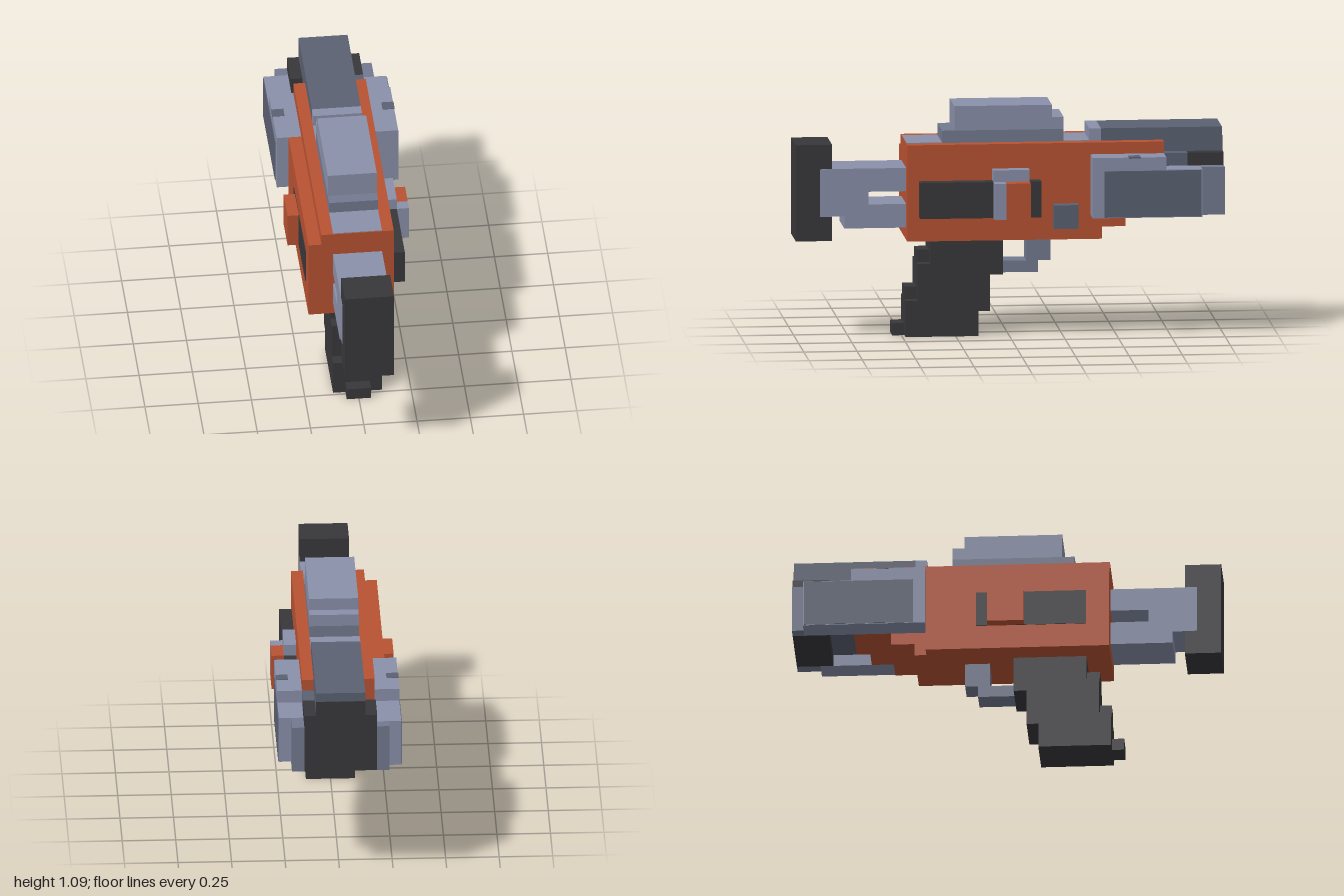
import * as THREE from 'three';

const material = (color) => new THREE.MeshStandardMaterial({ color, flatShading: true });

export function createModel() {
  const model = new THREE.Group();
  const orange = material(0xb85232), dark = material(0x38373b);
  const light = material(0x8a90aa), steel = material(0x5b6172), mid = material(0x737a90);

  // Each part is a group of boxes given as [x0, x1, y0, y1, z0, z1, material?]
  function part(name, base, boxes) {
    const group = new THREE.Group();
    group.name = name;
    for (const [x0, x1, y0, y1, z0, z1, mat = base] of boxes) {
      const mesh = new THREE.Mesh(new THREE.BoxGeometry(x1 - x0, y1 - y0, z1 - z0), mat);
      mesh.position.set((x0 + x1) / 2, (y0 + y1) / 2, (z0 + z1) / 2);
      mesh.name = name + 'Block';
      group.add(mesh);
    }
    model.add(group);
  }
  const W = 0.115, B = 0.17;

  // Body with a stepped underside and a thicker right flank
  part('body', orange, [
    [-B, B, 0.46, 0.518, -0.43, 0.483],
    [-B, B, 0.518, 0.575, -0.54, 0.483],
    [-B, B, 0.575, 0.63, -0.65, 0.483],
    [-B, B, 0.63, 0.915, -0.72, 0.483],
    [-0.23, -B, 0.46, 0.86, -0.375, 0.483],
  ]);
  part('topStrip', light, [
    [-W, W, 0.91, 0.918, 0.315, 0.48],
    [-W, W, 0.91, 0.918, -0.375, -0.255],
  ]);

  // Raised sight housing
  part('sight', light, [
    [-W, W, 0.915, 0.973, -0.255, 0.315, mid],
    [-W, W, 0.973, 1.03, -0.255, 0.257],
    [-W, W, 1.03, 1.088, -0.2, 0.257],
  ]);

  // Barrel and dark muzzle
  part('barrel', steel, [
    [-W, W, 0.915, 0.973, -0.72, -0.43],
    [-W, W, 0.86, 0.973, -0.997, -0.72],
    [-W, W, 0.915, 0.973, -0.43, -0.375, light],
    [-W, W, 0.63, 0.86, -0.83, -0.72],
    [W, B, 0.63, 0.86, -0.83, -0.72],
  ]);
  part('muzzle', dark, [
    [-B, B, 0.575, 0.86, -1, -0.83],
    [-W, W, 0.86, 0.93, -1, -0.997],
  ]);

  // Guard plates on both sides of the barrel
  for (const [s, end, name] of [[1, -0.89, 'leftGuard'], [-1, -0.945, 'rightGuard']]) {
    const side = (a, b, ...rest) => [Math.min(s * a, s * b), Math.max(s * a, s * b), ...rest];
    part(name, light, [
      side(B, 0.285, 0.575, 0.8, end, -0.375),
      side(B, 0.285, 0.8, 0.86, -0.72, -0.375),
      side(B, 0.228, 0.575, 0.8, -1, end, mid),
      side(0.28, 0.288, 0.578, 0.797, end + 0.005, -0.43, steel),
      side(0.23, 0.287, 0.855, 0.862, -0.6, -0.545, steel),
    ]);
  }

  // Shoulder stock: dark butt and forked arm
  part('stockButt', dark, [[-W, W, 0.46, 0.915, 0.83, 1]]);
  part('stockArm', light, [
    [-W, W, 0.69, 0.8, 0.483, 0.83],
    [-W, W, 0.63, 0.69, 0.66, 0.83],
    [-W, W, 0.575, 0.63, 0.483, 0.83],
    [-W, W, 0.518, 0.575, 0.483, 0.773],
    [-0.117, 0.117, 0.575, 0.8, 0.828, 0.887],
  ]);

  // Slanted grip in layers, with narrow ridges on its back
  part('grip', dark, [
    [-W, W, 0.345, 0.46, 0.03, 0.37],
    [-W, W, 0.29, 0.345, 0.03, 0.43],
    [-W, W, 0.17, 0.29, 0.09, 0.43],
    [-W, W, 0.118, 0.17, 0.09, 0.485],
    [-W, W, 0, 0.118, 0.145, 0.485],
    [-0.057, 0.057, 0.345, 0.403, 0.37, 0.43],
    [-0.057, 0.057, 0.17, 0.23, 0.43, 0.485],
    [-0.057, 0.057, 0, 0.057, 0.485, 0.543],
  ]);
  part('triggerGuard', mid, [
    [-0.057, 0.057, 0.29, 0.345, -0.14, 0.03],
    [-0.057, 0.057, 0.345, 0.403, -0.2, -0.085],
    [-0.057, 0.057, 0.403, 0.46, -0.2, -0.085],
  ]);

  // Left flank controls
  part('sidePanel', dark, [
    [B, 0.228, 0.575, 0.745, 0.085, 0.428],
    [B, 0.228, 0.575, 0.745, -0.14, -0.085],
  ]);
  part('sideLever', light, [
    [B, 0.228, 0.575, 0.8, -0.085, 0.085],
    [0.228, 0.285, 0.575, 0.745, 0.03, 0.085],
    [0.228, 0.285, 0.575, 0.745, -0.085, 0.03, orange],
  ]);
  part('sideButton', steel, [[B, 0.228, 0.518, 0.63, -0.315, -0.2]]);

  // Right flank inlay and knob
  part('rightInlay', dark, [[-0.233, -0.228, 0.575, 0.745, -0.14, 0.375]]);
  part('rightKnob', orange, [[-0.285, -0.228, 0.575, 0.745, -0.085, 0.085]]);

  return model;
}
